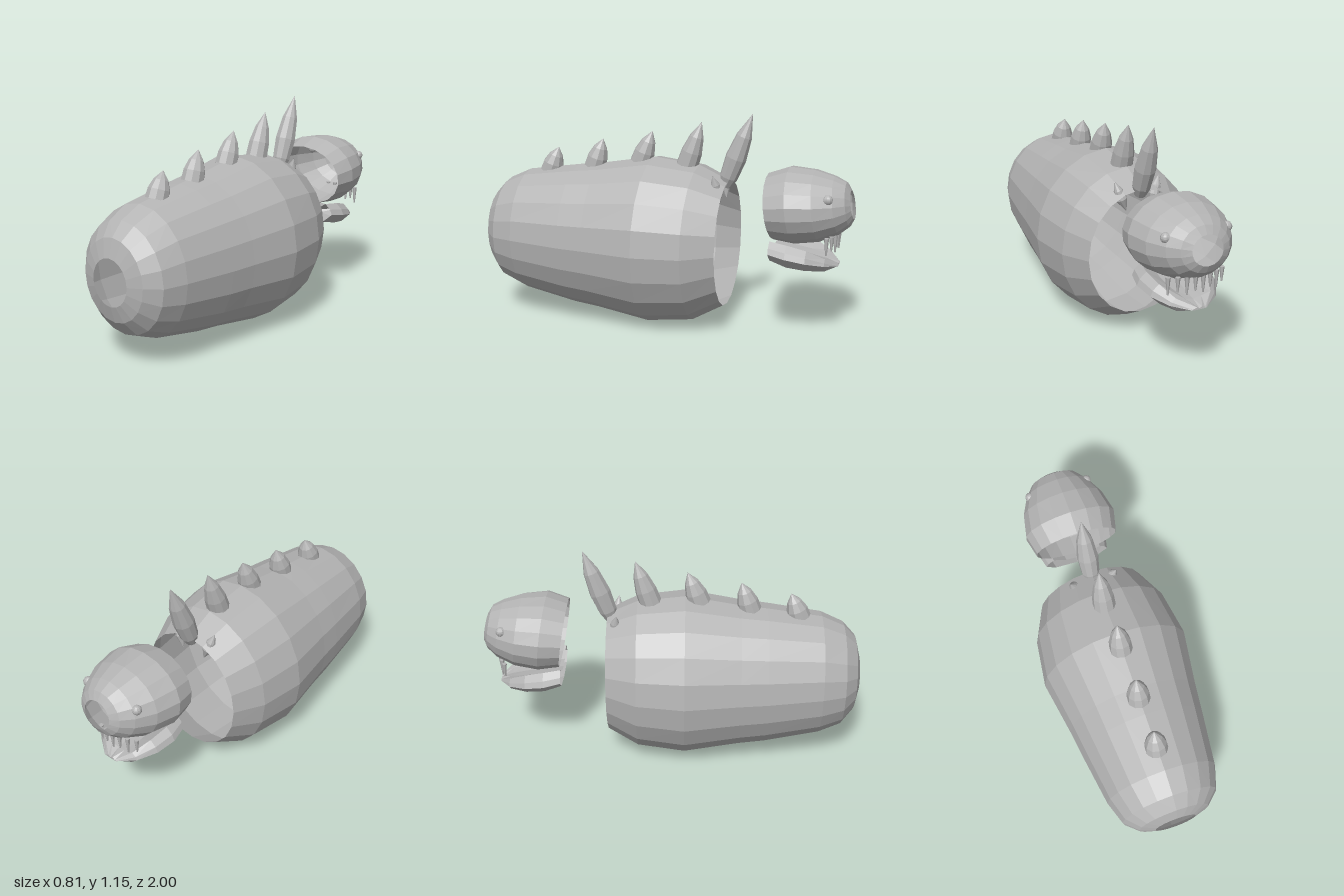
import * as THREE from 'three';

const grey = new THREE.MeshStandardMaterial({ color: 0xb4b4b4, side: THREE.DoubleSide });
grey.name = 'stone grey';
grey.flatShading = true;

function addMesh(parent, geometry, name) {
  const mesh = new THREE.Mesh(geometry, grey);
  mesh.name = name;
  parent.add(mesh);
  return mesh;
}

// Open skin through closed loops of points, running from +z to -z
function loft(loops) {
  const n = loops[0].length;
  const index = [];
  for (let i = 0; i < loops.length - 1; i++) {
    for (let j = 0; j < n; j++) {
      const a = i * n + j, b = i * n + (j + 1) % n;
      index.push(a, b, a + n, b, b + n, a + n);
    }
  }
  const geometry = new THREE.BufferGeometry().setFromPoints(loops.flat());
  geometry.setIndex(index);
  const flat = geometry.toNonIndexed();
  flat.computeVertexNormals();
  return flat;
}

// Oval loop between a top and a bottom point in the middle plane
function oval(zTop, yTop, zBottom, yBottom, halfWidth, sides) {
  const loop = [];
  for (let i = 0; i < sides; i++) {
    const t = (i / sides) * Math.PI * 2;
    const k = (1 + Math.cos(t)) / 2;
    loop.push(new THREE.Vector3(
      halfWidth * Math.sin(t),
      THREE.MathUtils.lerp(yBottom, yTop, k),
      THREE.MathUtils.lerp(zBottom, zTop, k)));
  }
  return loop;
}

// Pointed spike; the profile holds [radius, fraction of length]
function addSpike(parent, base, tip, profile, name) {
  const from = new THREE.Vector3(...base);
  const dir = new THREE.Vector3(...tip).sub(from);
  const length = dir.length();
  const points = profile.map(([r, f]) => new THREE.Vector2(r, f * length));
  const mesh = addMesh(parent, new THREE.LatheGeometry(points, 10), name);
  mesh.position.copy(from);
  mesh.quaternion.setFromUnitVectors(new THREE.Vector3(0, 1, 0), dir.normalize());
}

export function createModel() {
  const model = new THREE.Group();
  model.name = 'spinedCreature';

  // Hollow body: z, top, bottom, half width
  const bodyRings = [
    [1.0, 0.575, 0.335, 0.11],
    [0.975, 0.67, 0.25, 0.19],
    [0.91, 0.74, 0.17, 0.26],
    [0.79, 0.795, 0.12, 0.3],
    [0.5, 0.838, 0.065, 0.342],
    [0.36, 0.855, 0.05, 0.36],
    [0.07, 0.905, 0.005, 0.407],
    [-0.18, 0.875, 0.035, 0.372],
    [-0.34, 0.802, 0.126, 0.295],
  ];
  addMesh(model, loft(bodyRings.map(([z, top, bottom, w]) => oval(z, top, z, bottom, w, 20))), 'body');

  // Back spines, growing towards the neck: base z, base y, tip z, tip y
  const spines = [
    [0.67, 0.79, 0.62, 0.925],
    [0.41, 0.83, 0.36, 0.985],
    [0.145, 0.87, 0.08, 1.04],
    [-0.11, 0.86, -0.19, 1.1],
  ];
  const stubby = [[0.06, 0], [0.056, 0.35], [0.038, 0.68], [0.001, 1]];
  for (const [z, y, tz, ty] of spines) addSpike(model, [0, y, z], [0, ty, tz], stubby, 'backSpine');
  const slender = [[0.03, 0], [0.048, 0.13], [0.056, 0.4], [0.042, 0.7], [0.001, 1]];
  addSpike(model, [0, 0.77, -0.32], [0, 1.155, -0.46], slender, 'neckSpine');

  // Small spikes poking through the neck
  const spindle = [[0.001, 0], [0.03, 0.4], [0.024, 0.7], [0.001, 1]];
  for (const s of [-1, 1]) addSpike(model, [s * 0.07, 0.69, -0.31], [s * 0.125, 0.845, -0.285], spindle, 'neckSpike');

  // Separate hollow head: top z, top y, bottom z, bottom y, half width
  const head = new THREE.Group();
  head.name = 'head';
  model.add(head);
  const skullRings = [
    [-0.55, 0.855, -0.6, 0.515, 0.228],
    [-0.66, 0.895, -0.71, 0.502, 0.255],
    [-0.79, 0.885, -0.835, 0.52, 0.228],
    [-0.89, 0.858, -0.93, 0.562, 0.178],
    [-0.95, 0.83, -0.98, 0.605, 0.13],
    [-0.975, 0.79, -1.0, 0.645, 0.082],
  ];
  addMesh(head, loft(skullRings.map((r) => oval(...r, 18))), 'skull');

  // Eyes
  for (const s of [-1, 1]) {
    const eye = addMesh(head, new THREE.SphereGeometry(0.026, 10, 8), 'eye');
    eye.position.set(s * 0.162, 0.77, -0.882);
  }

  // Dished lower jaw: z, half width, side y, lip y, dip y, bottom y
  const jawRings = [
    [-0.59, 0.18, 0.47, 0.528, 0.475, 0.41],
    [-0.68, 0.2, 0.455, 0.518, 0.46, 0.38],
    [-0.78, 0.18, 0.435, 0.492, 0.445, 0.368],
    [-0.87, 0.125, 0.415, 0.447, 0.427, 0.37],
    [-0.93, 0.04, 0.4, 0.404, 0.403, 0.397],
  ];
  const jawLoops = jawRings.map(([z, w, side, lip, dip, bottom]) => {
    const low = THREE.MathUtils.lerp(side, bottom, 0.75);
    const half = [[0.35, dip + 0.008], [0.75, lip], [0.93, (lip + side) / 2], [1, side], [0.7, low]];
    const right = half.map(([x, y]) => new THREE.Vector3(x * w, y, z));
    const left = half.map(([x, y]) => new THREE.Vector3(-x * w, y, z)).reverse();
    return [new THREE.Vector3(0, dip, z), ...right, new THREE.Vector3(0, bottom, z), ...left];
  });
  addMesh(head, loft(jawLoops), 'lowerJaw');

  // Arc of upper teeth
  for (let i = 0; i < 8; i++) {
    const u = (i / 7) * 2 - 1;
    const height = i % 2 ? 0.09 : 0.075;
    const tooth = addMesh(head, new THREE.CylinderGeometry(0.013, 0.004, height, 6), 'tooth');
    tooth.position.set(u * 0.145, 0.57 - height / 2, -0.922 + 0.04 * u * u);
  }

  return model;
}
